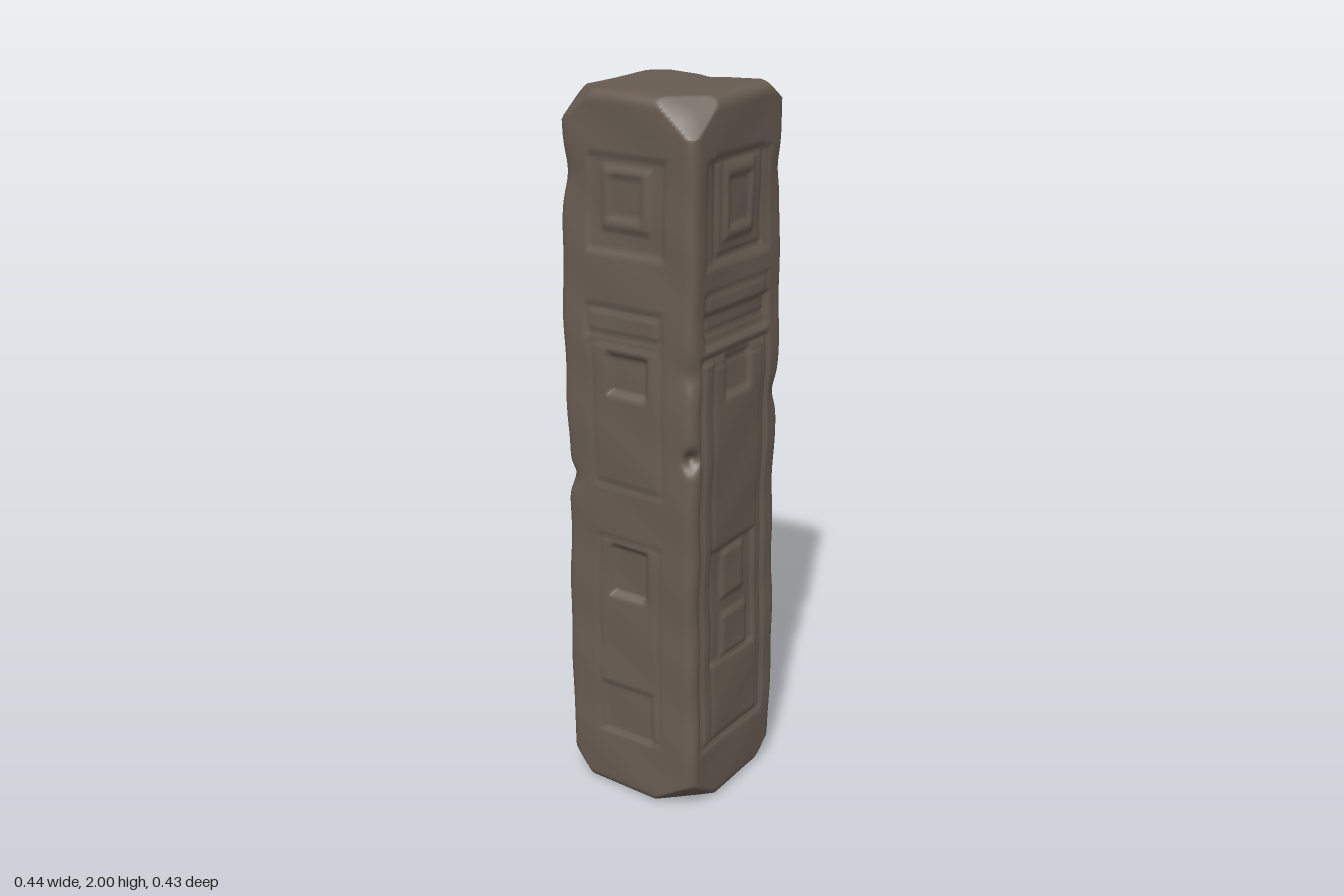
import * as THREE from 'three';
import { mergeVertices } from 'three/addons/utils/BufferGeometryUtils.js';

const HALF = 0.213, HEIGHT = 2, ROUND = 0.03;
const { smoothstep, clamp } = THREE.MathUtils;

// Signed distance to a rectangle [u0, u1, y0, y1], negative inside
function rectDistance(u, y, [u0, u1, y0, y1]) {
  return Math.max(u0 - u, u - u1, y0 - y, y - y1);
}
// Sunken area (negative depth raises it)
const recess = (u0, u1, y0, y1, depth) => (u, y) =>
  depth * (1 - smoothstep(rectDistance(u, y, [u0, u1, y0, y1]), -0.008, 0.006));
// Thin cut line around a rectangle
const outline = (u0, u1, y0, y1, depth) => (u, y) =>
  depth * (1 - smoothstep(Math.abs(rectDistance(u, y, [u0, u1, y0, y1])), 0.002, 0.011));

// Carvings on each side; u runs to the right when looking at that side
const front = [
  recess(-0.12, 0.12, 1.59, 1.84, 0.007), recess(-0.075, 0.075, 1.65, 1.81, -0.008),
  recess(-0.05, 0.05, 1.68, 1.79, 0.008),
  outline(-0.12, 0.11, 1.37, 1.44, 0.006), outline(-0.11, 0.11, 0.95, 1.35, 0.004),
  recess(-0.06, 0.065, 1.21, 1.32, 0.016),
  recess(-0.06, 0.06, 0.62, 0.77, 0.016), outline(-0.1, 0.1, 0.19, 0.79, 0.004),
  recess(-0.09, 0.08, 0.19, 0.34, 0.008),
];
const side = [
  recess(-0.155, 0.14, 1.57, 1.84, 0.006), outline(-0.11, 0.11, 1.59, 1.84, 0.006),
  recess(-0.07, 0.065, 1.63, 1.82, -0.007), recess(-0.05, 0.05, 1.66, 1.79, 0.008),
  recess(-0.155, 0.14, 1.36, 1.45, 0.01), outline(-0.15, 0.13, 1.4, 1.5, 0.004),
  outline(-0.165, 0.135, 0.19, 1.33, 0.008), outline(-0.115, 0.115, 0.2, 1.31, 0.004),
  recess(-0.06, 0.055, 1.21, 1.32, 0.01),
  recess(-0.12, 0.095, 0.43, 0.78, 0.008), recess(-0.06, 0.045, 0.62, 0.76, -0.008),
  recess(-0.065, 0.06, 0.44, 0.57, -0.008),
];
const back = [
  recess(-0.12, 0.12, 1.6, 1.84, 0.006), recess(-0.07, 0.07, 1.66, 1.8, -0.005),
  recess(-0.14, 0.13, 1.37, 1.46, 0.014), recess(-0.06, 0.06, 1.22, 1.32, 0.008),
  recess(-0.07, 0.07, 0.62, 0.77, 0.014), recess(-0.1, 0.09, 0.19, 0.33, 0.01),
];

// Flat chips: [normal, a point on the cut]
const chips = [
  [[1, 1.2, 1], [0.16, 1.98, 0.16]],
  [[-1, 1.3, 1], [-0.165, 1.98, 0.165]],
  [[-1, 1.4, -1], [-0.18, 1.98, -0.18]],
  [[1, 1.5, -1], [0.18, 1.985, -0.18]],
  [[1, -1.6, 1], [0.16, 0.03, 0.16]],
  [[-1, -0.8, 1], [-0.18, 0.03, 0.185]],
  [[-1, -1.4, -1], [-0.165, 0.03, -0.165]],
  [[1, -1.2, -1], [0.18, 0.03, -0.18]],
].map(([n, p]) => {
  const normal = new THREE.Vector3(...n).normalize();
  return { normal, offset: normal.dot(new THREE.Vector3(...p)) };
});

// Worn notches: [x, y, z, radius, depth towards the axis]
const notches = [
  [0.21, 1.07, 0.21, 0.025, 0.035], [-0.21, 0.94, 0.21, 0.035, 0.02],
  [-0.21, 1.08, -0.21, 0.03, 0.025], [0.21, 1.3, 0.21, 0.04, 0.01],
  [-0.21, 1.78, 0.21, 0.06, 0.012], [0.21, 1.78, -0.21, 0.05, 0.008],
  [0.21, 1.16, -0.21, 0.04, 0.012], [0, 1.97, -0.21, 0.028, 0.04],
  [0.03, 1.88, -0.21, 0.035, 0.015],
];

function carving(x, y, z) {
  if (y < 0.1 || y > 1.92) return 0;
  let list, u;
  if (Math.abs(z) > Math.abs(x)) [list, u] = z > 0 ? [front, x] : [back, -x];
  else [list, u] = [side, x > 0 ? -z : z];
  return list.reduce((sum, carve) => sum + carve(u, y), 0);
}

function weatheredBlock() {
  const geometry = new THREE.BoxGeometry(HALF * 2, HEIGHT, HALF * 2, 52, 220, 52);
  geometry.translate(0, HEIGHT / 2, 0);
  const pos = geometry.attributes.position;
  const p = new THREE.Vector3(), core = new THREE.Vector3(), dir = new THREE.Vector3();
  const inner = HALF - ROUND;
  for (let i = 0; i < pos.count; i++) {
    p.fromBufferAttribute(pos, i);
    // Rounded edges
    core.set(clamp(p.x, -inner, inner), clamp(p.y, ROUND, HEIGHT - ROUND), clamp(p.z, -inner, inner));
    dir.subVectors(p, core).normalize();
    const cut = carving(p.x, p.y, p.z);
    p.copy(core).addScaledVector(dir, ROUND - cut);
    // Chipped corners
    for (const { normal, offset } of chips) {
      const over = normal.dot(p) - offset;
      if (over > 0) p.addScaledVector(normal, -over * 0.92);
    }
    // Notches and the split in the back of the top
    for (const [x, y, z, radius, depth] of notches) {
      const d2 = (p.x - x) ** 2 + (p.y - y) ** 2 + (p.z - z) ** 2;
      const push = depth * Math.exp(-d2 / (radius * radius));
      const r = Math.hypot(x, z);
      p.x -= push * x / r;
      p.z -= push * z / r;
      if (y > 1.9) p.y -= push * 0.5;
    }
    // Gently uneven stone
    const { x, y, z } = p;
    p.x += 0.003 * Math.sin(7 * y + 5 * z) + 0.0015 * Math.sin(23 * y + 17 * z);
    p.z += 0.003 * Math.sin(6 * y + 6 * x + 1) + 0.0015 * Math.sin(26 * y + 15 * x);
    if (y > 1.9) p.y += 0.003 * Math.sin(14 * x + 9 * z) - 0.003;
    pos.setXYZ(i, p.x, p.y, p.z);
  }
  geometry.deleteAttribute('normal');
  geometry.deleteAttribute('uv');
  const merged = mergeVertices(geometry, 1e-5);
  merged.computeVertexNormals();
  return merged;
}

export function createModel() {
  const group = new THREE.Group();
  group.name = 'stonePillar';
  const stone = new THREE.MeshStandardMaterial({ color: 0x675b51 });
  stone.name = 'brown stone';
  const pillar = new THREE.Mesh(weatheredBlock(), stone);
  pillar.name = 'carvedPillar';
  group.add(pillar);
  return group;
}
